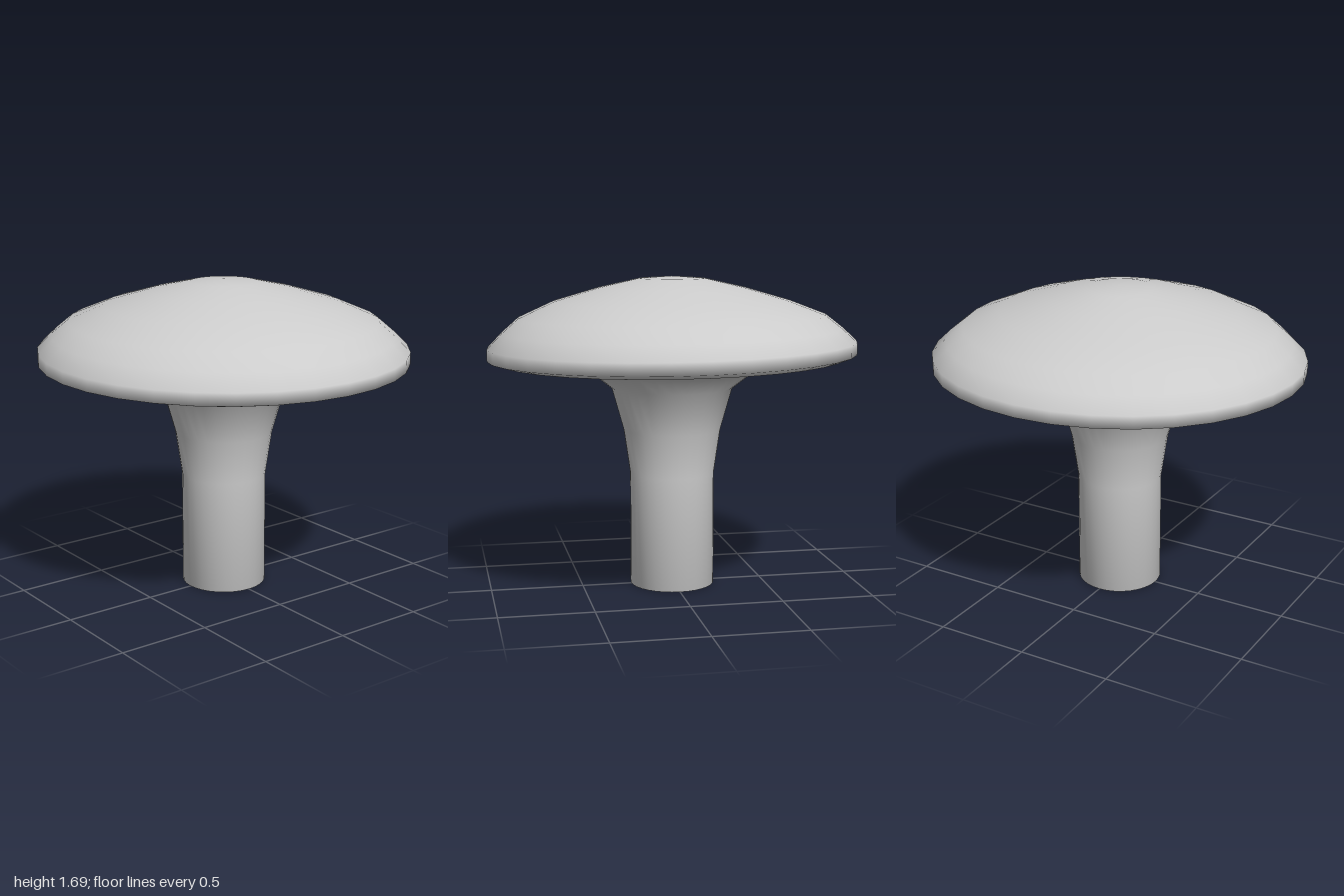
import * as THREE from 'three';
import { mergeVertices } from 'three/addons/utils/BufferGeometryUtils.js';

// Radius and height, from the centre of the base to the top of the cap
const PROFILE = [
  [0, 0], [0.23, 0], [0.23, 0.62], [0.265, 0.86], [0.33, 1.09],
  [0.44, 1.175], [0.58, 1.233], [0.72, 1.228], [0.93, 1.243], [0.997, 1.265],
  [0.997, 1.33], [0.92, 1.405], [0.83, 1.48], [0.64, 1.56], [0.4, 1.63],
  [0.18, 1.68], [0, 1.692],
];
const STEM_TOP = 1.1;

export function createModel() {
  const group = new THREE.Group();
  group.name = 'mushroom';

  // One continuous turned surface, welded so the shading flows from stem to cap
  const points = PROFILE.map(([r, y]) => new THREE.Vector2(r, y));
  let surface = new THREE.LatheGeometry(points, 32);
  surface.deleteAttribute('normal');
  surface.deleteAttribute('uv');

  // Slight tilt of the rim, fading towards the middle
  const pos = surface.attributes.position;
  for (let i = 0; i < pos.count; i++) {
    const x = pos.getX(i), z = pos.getZ(i), r = Math.hypot(x, z);
    if (r > 0.6) pos.setY(i, pos.getY(i) - (0.018 * x + 0.007 * z) * (r - 0.6) / 0.4);
  }
  surface = mergeVertices(surface, 1e-4);
  surface.computeVertexNormals();

  // Share the vertices between the two parts, dropping collapsed faces at the poles
  const index = surface.index.array, p = surface.attributes.position;
  const parts = { stem: [], cap: [] };
  for (let i = 0; i < index.length; i += 3) {
    const face = [index[i], index[i + 1], index[i + 2]];
    if (new Set(face).size < 3) continue;
    const isStem = face.every((v) => p.getY(v) < STEM_TOP);
    parts[isStem ? 'stem' : 'cap'].push(...face);
  }

  const material = new THREE.MeshStandardMaterial({ color: 0xcccccc });
  for (const [name, faces] of Object.entries(parts)) {
    const geometry = surface.clone();
    geometry.setIndex(faces);
    const mesh = new THREE.Mesh(geometry, material);
    mesh.name = name;
    group.add(mesh);
  }
  return group;
}
